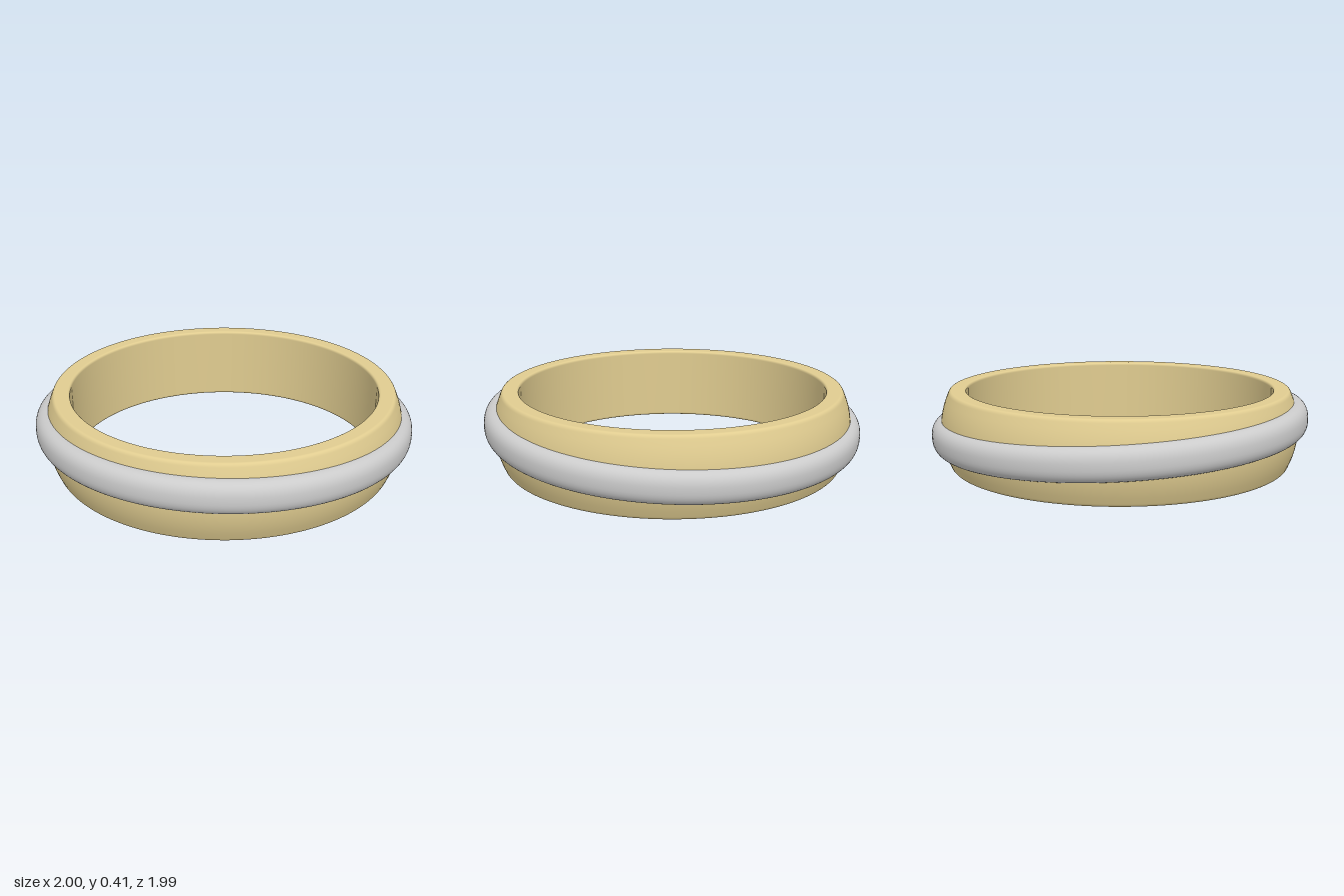
import * as THREE from 'three';

const SEGMENTS = 160;

function lathe(name, points, color) {
  const mesh = new THREE.Mesh(
    new THREE.LatheGeometry(points, SEGMENTS),
    new THREE.MeshStandardMaterial({ color })
  );
  mesh.name = name;
  return mesh;
}

// Closed band section: domed outside, softened rims, straight bore
function bandProfile() {
  const h = 0.405, inner = 0.812, rim = 0.885, f = 0.015;
  const p = new THREE.Path();
  p.moveTo(inner, h / 2);
  p.lineTo(inner, f);
  p.quadraticCurveTo(inner, 0, inner + f, 0);
  p.lineTo(rim, 0);
  p.quadraticCurveTo(rim + 0.014, 0, rim + 0.021, 0.018);
  p.quadraticCurveTo(0.99, h / 2, rim + 0.021, h - 0.018);
  p.quadraticCurveTo(rim + 0.014, h, rim, h);
  p.lineTo(inner + f, h);
  p.quadraticCurveTo(inner, h, inner, h - f);
  p.lineTo(inner, h / 2);
  return p.getPoints(12);
}

// Rounded, slightly squared section of the raised ring
function ringProfile() {
  const points = [], steps = 40, power = 2 / 2.4;
  const bend = (v) => Math.sign(v) * Math.abs(v) ** power;
  for (let i = 0; i <= steps; i++) {
    const a = -Math.PI + (i / steps) * Math.PI * 2;
    points.push(new THREE.Vector2(0.925 + 0.073 * bend(Math.cos(a)), 0.084 * bend(Math.sin(a))));
  }
  return points;
}

export function createModel() {
  const group = new THREE.Group();
  group.name = 'weddingRing';

  group.add(lathe('band', bandProfile(), 0xe0cc90));

  // Raised ring, tilted so that it sits higher at the front
  const ring = lathe('tiltedRing', ringProfile(), 0xdcdee0);
  ring.position.y = 0.214;
  ring.rotation.x = -0.053;
  group.add(ring);

  return group;
}
